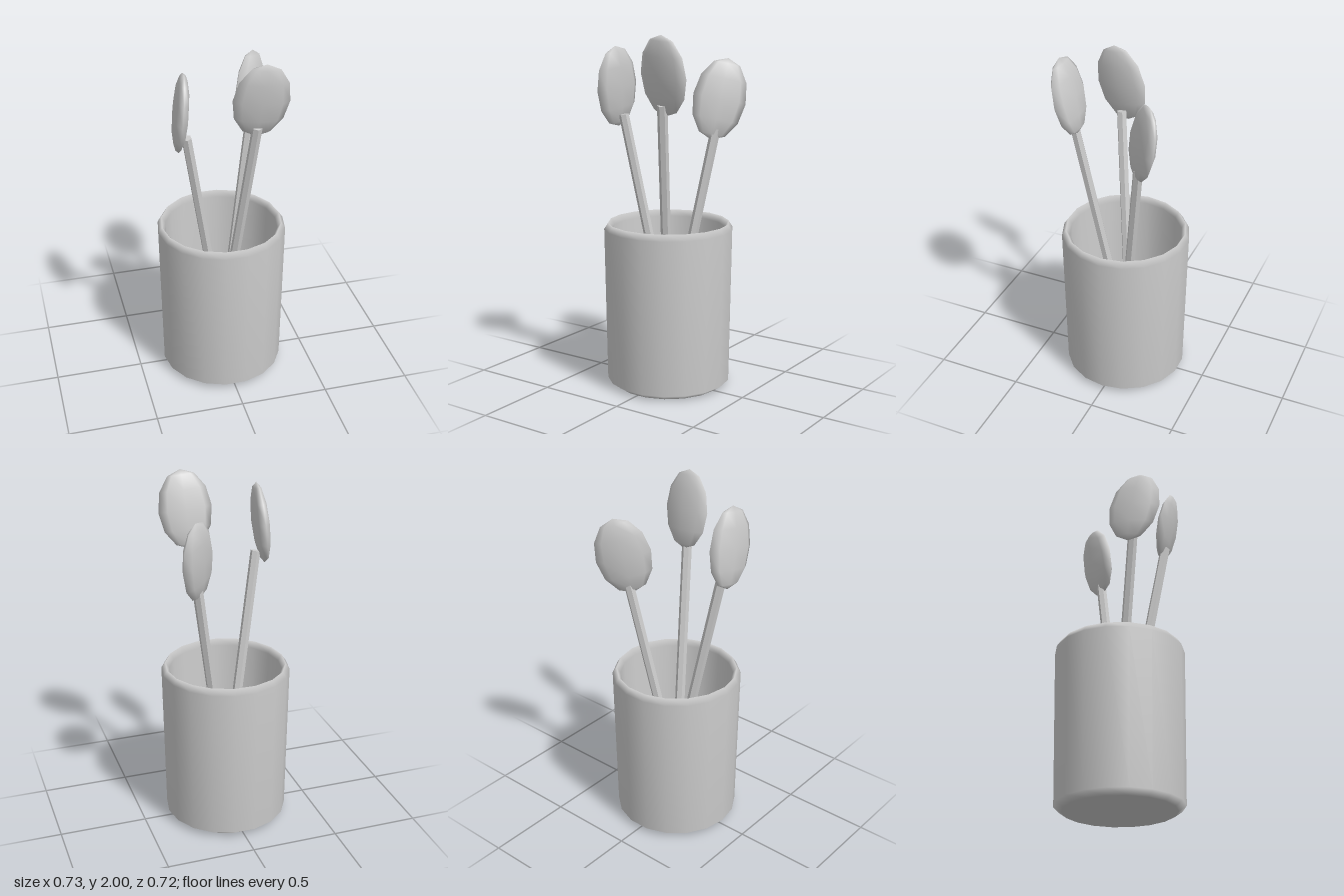
import * as THREE from 'three';

const UP = new THREE.Vector3(0, 1, 0);

export function createModel() {
  const group = new THREE.Group();
  const grey = new THREE.MeshStandardMaterial({ color: 0xcccccc });
  grey.name = 'lightGrey';

  const add = (name, geometry, parent = group) => {
    const mesh = new THREE.Mesh(geometry, grey);
    mesh.name = name;
    parent.add(mesh);
    return mesh;
  };

  // Hollow pot with a chamfered foot and a bevelled rim
  const profile = [
    [0, 0], [0.31, 0], [0.352, 0.03], [0.365, 0.91], [0.342, 0.945],
    [0.32, 0.91], [0.31, 0.06], [0.309, 0.06], [0, 0.06],
  ].map(([r, y]) => new THREE.Vector2(r, y));
  add('pot', new THREE.LatheGeometry(profile, 18, Math.PI / 2));

  // Faceted handle between two points
  const handleGeometry = (from, to) => {
    const axis = to.clone().sub(from);
    const g = new THREE.CylinderGeometry(0.028, 0.028, axis.length(), 6).toNonIndexed();
    g.computeVertexNormals();
    g.applyQuaternion(new THREE.Quaternion().setFromUnitVectors(UP, axis.normalize()));
    const mid = from.clone().add(to).multiplyScalar(0.5);
    return g.translate(mid.x, mid.y, mid.z);
  };

  // Flattened oval head, oriented by its long axis and its width direction
  const headGeometry = (center, up, wide, halfHeight) => {
    const u = up.clone().normalize();
    const w = wide.clone().addScaledVector(u, -wide.dot(u)).normalize();
    const n = new THREE.Vector3().crossVectors(w, u);
    const g = new THREE.SphereGeometry(1, 8, 6).scale(0.152, halfHeight, 0.043);
    g.applyMatrix4(new THREE.Matrix4().makeBasis(w, u, n));
    return g.translate(center.x, center.y, center.z);
  };

  const v = (a) => new THREE.Vector3(...a);
  const spoons = [
    { name: 'rightSpoon', from: [0.03, 0.05, -0.043], to: [-0.219, 1.55, 0.122],
      center: [-0.252, 1.705, 0.138], up: [0.03, 0.45, 0.07], wide: [-0.13, 0, 0.99], h: 0.227 },
    { name: 'frontSpoon', from: [-0.008, 0.05, -0.022], to: [0.13, 1.63, 0.248],
      center: [0.146, 1.785, 0.261], up: [0.03, 0.435, 0.085], wide: [0.99, 0, 0.07], h: 0.22 },
    { name: 'backSpoon', from: [-0.015, 0.05, 0.03], to: [0.208, 1.47, -0.16],
      center: [0.215, 1.635, -0.187], up: [0.05, 0.45, -0.1], wide: [0.72, 0, -0.69], h: 0.23 },
  ];
  for (const s of spoons) {
    const spoon = new THREE.Group();
    spoon.name = s.name;
    add('handle', handleGeometry(v(s.from), v(s.to)), spoon);
    add('head', headGeometry(v(s.center), v(s.up), v(s.wide), s.h), spoon);
    group.add(spoon);
  }
  return group;
}
